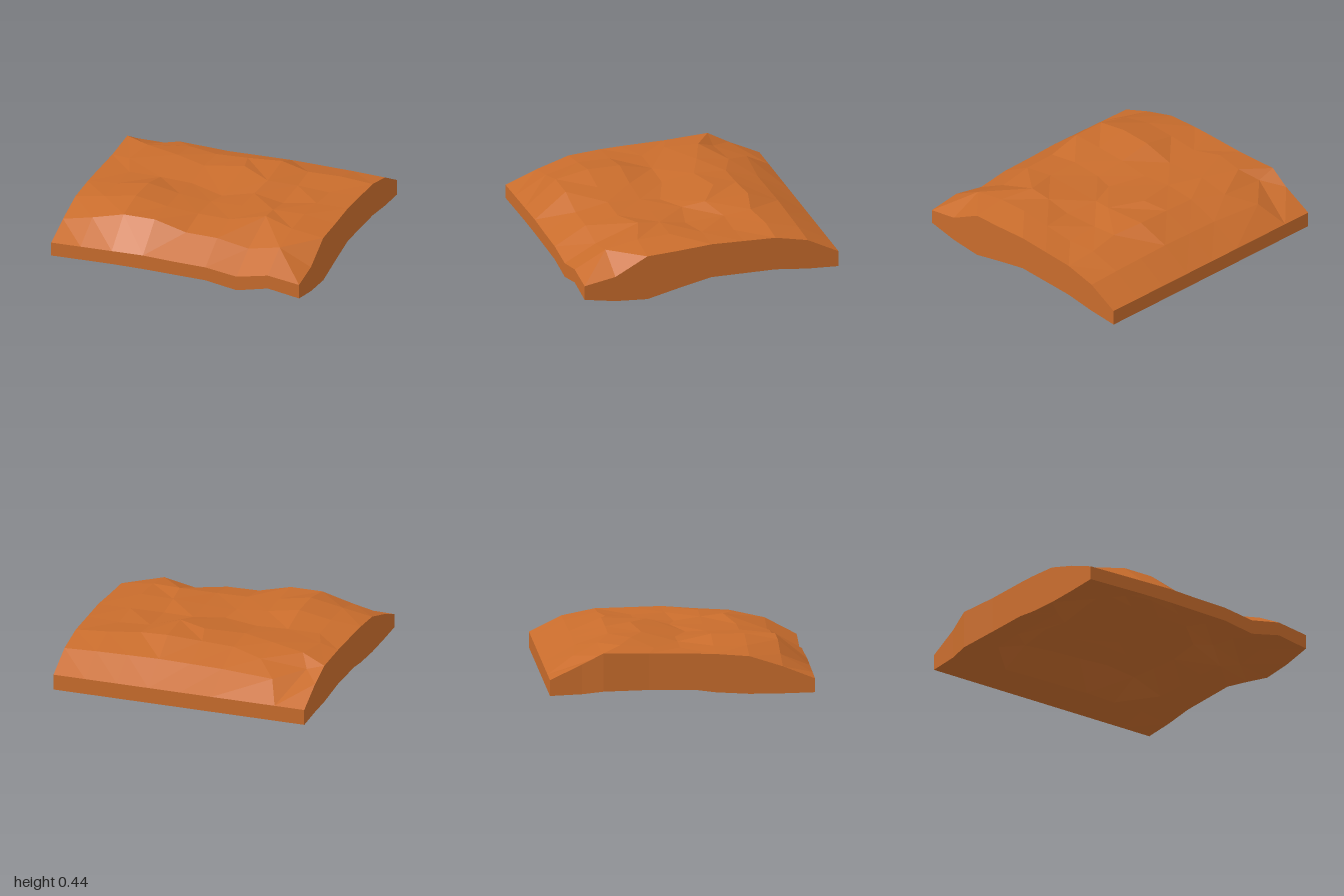
import * as THREE from 'three';

const N = 9;
const E = N - 1;
// Ground heights: rows run back to front, columns run from -x to +x
const TOP = [
  [0.20, 0.20, 0.20, 0.20, 0.20, 0.20, 0.20, 0.20, 0.20],
  [0.315, 0.355, 0.325, 0.33, 0.335, 0.34, 0.335, 0.33, 0.32],
  [0.40, 0.42, 0.39, 0.41, 0.42, 0.435, 0.405, 0.39, 0.37],
  [0.39, 0.405, 0.425, 0.42, 0.44, 0.42, 0.38, 0.365, 0.375],
  [0.385, 0.39, 0.39, 0.38, 0.365, 0.38, 0.36, 0.38, 0.38],
  [0.38, 0.40, 0.445, 0.40, 0.375, 0.38, 0.39, 0.395, 0.36],
  [0.36, 0.40, 0.445, 0.40, 0.38, 0.375, 0.41, 0.38, 0.345],
  [0.28, 0.33, 0.395, 0.395, 0.33, 0.325, 0.28, 0.33, 0.21],
  [0.185, 0.19, 0.195, 0.20, 0.19, 0.185, 0.15, 0.20, 0.165],
];
// Heights of the lower rim
const FRONT = [0.08, 0.085, 0.09, 0.09, 0.085, 0.08, 0.04, 0.095, 0.055];
const LEFT = [0.08, 0.09, 0.11, 0.115, 0.11, 0.09, 0.075, 0.075, 0.08];
const RIGHT = [0.08, 0.09, 0.115, 0.115, 0.115, 0.06, 0, 0.015, 0.055];
// Special heights on the underside, keyed by row and column
const UNDER = {
  '5,2': 0.265, '6,2': 0.28, '7,1': 0.075, '7,2': 0.18, '7,3': 0.2, '6,1': 0.175,
  '5,7': 0.12, '6,7': 0.04, '6,6': 0.13, '7,7': 0.07, '7,6': 0.09,
};
// Plan shifts of single grid points
const SHIFT = {
  '1,1': [-0.11, 0.16], '1,2': [-0.16, -0.04], '2,0': [-0.015, -0.09], '2,1': [-0.03, 0.05], '2,2': [0, -0.1],
  '2,5': [0.02, -0.01], '2,6': [0, 0.04], '3,1': [-0.08, 0.05], '3,2': [0, -0.1], '3,4': [0.05, -0.06],
  '3,5': [0.04, 0.08], '4,0': [0, 0.1], '4,4': [0.03, 0.1], '4,6': [0, 0.05], '6,6': [0.01, -0.08],
};
// Cells split along the steeper diagonal
const STEEP = ['7,7'];

// Step from a near-rim index to its neighbour on the rim or further in
const outward = (i) => (i === 1 ? 0 : i === E - 1 ? E : i);
const inward = (i) => (i === 1 ? 2 : i === E - 1 ? E - 2 : i);

function bottomHeight(r, c) {
  if (r === 0) return 0.08;
  if (r === E) return FRONT[c];
  if (c === 0) return LEFT[r];
  if (c === E) return RIGHT[r];
  const special = UNDER[`${r},${c}`];
  if (special !== undefined) return special;
  const nearRim = r === 1 || c === 1 || r === E - 1 || c === E - 1;
  if (!nearRim) return TOP[r][c] - 0.16;
  // The underside stays low near the rim, then rises
  const rise = r === E - 1 ? 0.5 : 0.3;
  return THREE.MathUtils.lerp(
    bottomHeight(outward(r), outward(c)), bottomHeight(inward(r), inward(c)), rise);
}

function point(r, c, y, shift = [0, 0]) {
  const x = c === 0 ? -0.985 : -1 + c * 0.25;
  const z = r === 0 ? -0.99 : r === E ? 0.99 : -1 + r * 0.25;
  return new THREE.Vector3(x + shift[0], y, z + shift[1]);
}
const topPoint = (r, c) => point(r, c, TOP[r][c], SHIFT[`${r},${c}`]);
// Only rim points share the plan shift of the ground above
const bottomPoint = (r, c) => point(r, c, bottomHeight(r, c), c === 0 ? SHIFT[`${r},${c}`] : undefined);

// Two triangles, split along the flatter diagonal unless told otherwise
function quad(list, a, b, c, d, steep = false) {
  const flatterAC = Math.abs(a.y - c.y) <= Math.abs(b.y - d.y);
  if (flatterAC !== steep) list.push(a, b, c, a, c, d);
  else list.push(a, b, d, b, c, d);
}

function groundTop() {
  const list = [];
  for (let r = 0; r < E; r++) {
    for (let c = 0; c < E; c++) {
      quad(list, topPoint(r, c), topPoint(r + 1, c), topPoint(r + 1, c + 1), topPoint(r, c + 1),
        STEEP.includes(`${r},${c}`));
    }
  }
  return list;
}

function underside() {
  const list = [];
  for (let r = 0; r < E; r++) {
    for (let c = 0; c < E; c++) {
      quad(list, bottomPoint(r, c), bottomPoint(r, c + 1), bottomPoint(r + 1, c + 1), bottomPoint(r + 1, c));
    }
  }
  return list;
}

function sideWalls() {
  const list = [];
  const rim = [];
  // Walk the rim: front to +x, then back, then -x
  for (let i = 0; i < E; i++) rim.push([E, i]);
  for (let i = E; i > 0; i--) rim.push([i, E]);
  for (let i = E; i > 0; i--) rim.push([0, i]);
  for (let i = 0; i < E; i++) rim.push([i, 0]);
  rim.forEach((p, i) => {
    const q = rim[(i + 1) % rim.length];
    quad(list, bottomPoint(...p), bottomPoint(...q), topPoint(...q), topPoint(...p));
  });
  return list;
}

export function createModel() {
  const group = new THREE.Group();
  group.name = 'terrainSlab';
  const material = new THREE.MeshStandardMaterial({ color: 0xc86c2c, flatShading: true });
  const parts = { groundTop: groundTop(), underside: underside(), sideWalls: sideWalls() };
  for (const [name, points] of Object.entries(parts)) {
    const geometry = new THREE.BufferGeometry().setFromPoints(points);
    geometry.computeVertexNormals();
    const mesh = new THREE.Mesh(geometry, material);
    mesh.name = name;
    group.add(mesh);
  }
  return group;
}
